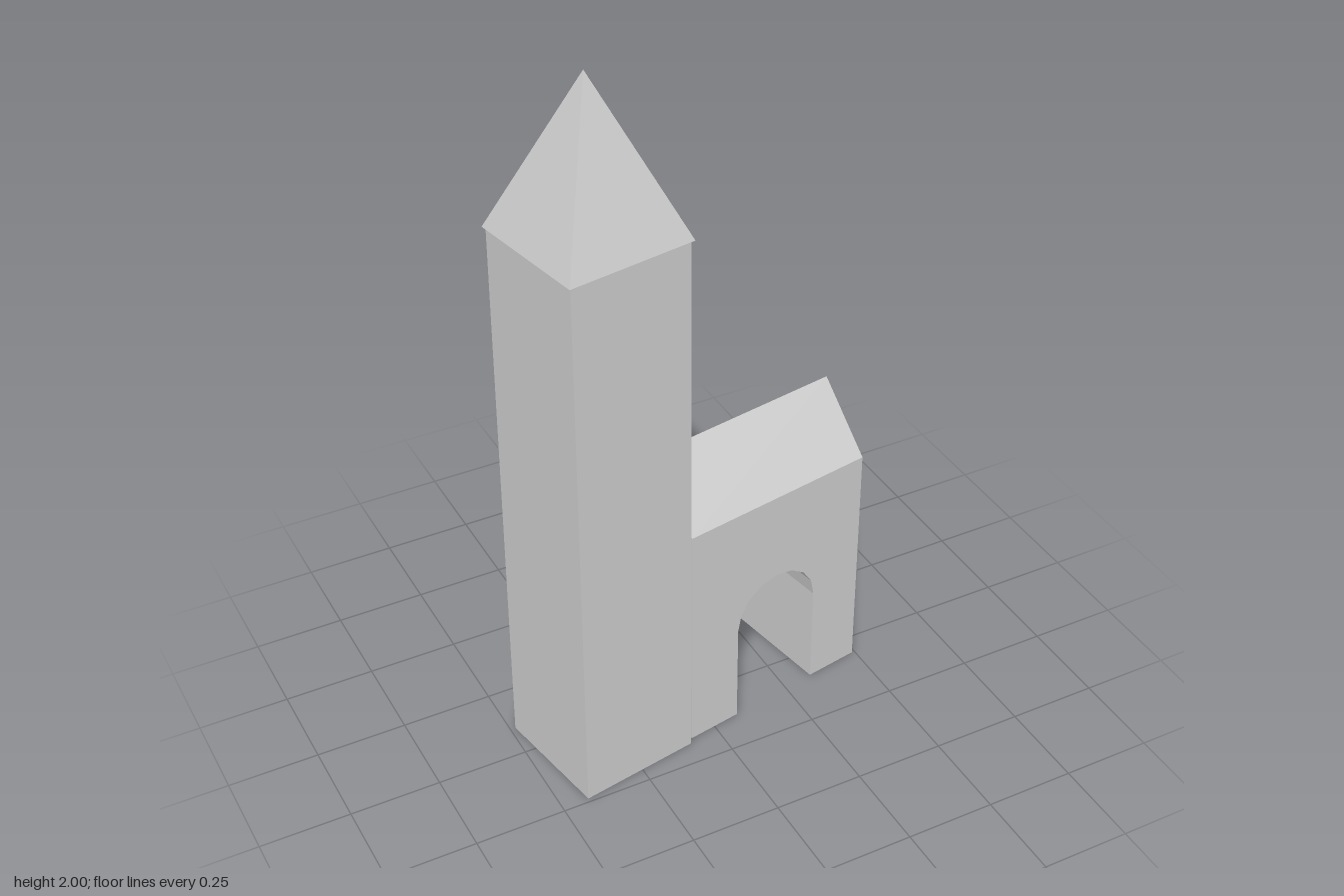
import * as THREE from 'three';

export function createModel() {
  const stone = new THREE.MeshStandardMaterial({ color: 0xcccccc });
  stone.name = 'light grey stone';

  // The whole building is turned slightly about its vertical axis
  const chapel = new THREE.Group();
  chapel.name = 'chapel';
  chapel.rotation.y = THREE.MathUtils.degToRad(10);

  const add = (name, geometry, x, y, parent = chapel) => {
    const mesh = new THREE.Mesh(geometry, stone);
    mesh.name = name;
    mesh.position.set(x, y, -0.011);
    parent.add(mesh);
    return mesh;
  };

  // Tower with a slightly overhanging pyramid spire
  const towerX = -0.289, towerH = 1.58, towerW = 0.343, spireW = 0.356;
  add('tower', new THREE.BoxGeometry(towerW, towerH, towerW), towerX, towerH / 2);
  const spire = new THREE.ConeGeometry(spireW / Math.SQRT2, 2 - towerH, 4).toNonIndexed();
  spire.rotateY(Math.PI / 4);
  spire.computeVertexNormals();
  add('spire', spire, towerX, (2 + towerH) / 2);

  // Nave walls with an arched passage running from front to back
  const naveX = 0.185, length = 0.577, depth = 0.314, wallH = 0.688, ridgeH = 0.866;
  const r = 0.132, spring = 0.296;
  const wall = new THREE.Shape();
  wall.moveTo(-length / 2, 0);
  wall.lineTo(-r, 0);
  wall.lineTo(-r, spring);
  wall.absarc(0, spring, r, Math.PI, 0, true);
  wall.lineTo(r, 0);
  wall.lineTo(length / 2, 0);
  wall.lineTo(length / 2, wallH);
  wall.lineTo(-length / 2, wallH);
  wall.closePath();
  const walls = new THREE.ExtrudeGeometry(wall, { depth, bevelEnabled: false, curveSegments: 4 });
  walls.translate(0, 0, -depth / 2);
  add('naveWalls', walls, naveX, 0);

  // Gabled roof, flush with the walls
  const gable = new THREE.Shape([
    new THREE.Vector2(-depth / 2, 0),
    new THREE.Vector2(depth / 2, 0),
    new THREE.Vector2(0, ridgeH - wallH),
  ]);
  const roof = new THREE.ExtrudeGeometry(gable, { depth: length, bevelEnabled: false });
  roof.translate(0, 0, -length / 2);
  roof.rotateY(Math.PI / 2);
  add('naveRoof', roof, naveX, wallH);

  const model = new THREE.Group();
  model.name = 'model';
  model.add(chapel);
  return model;
}
